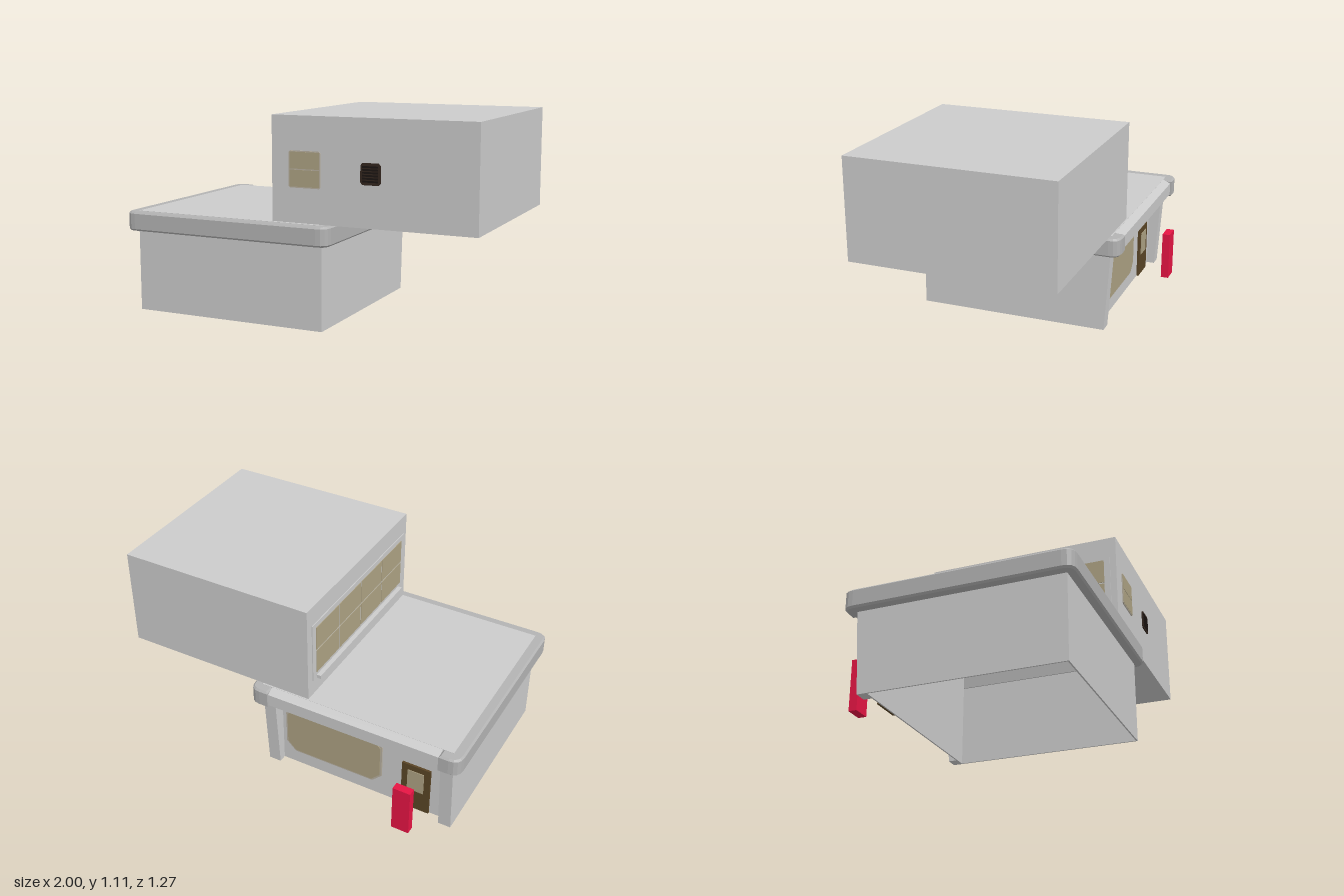
import * as THREE from 'three';

const mat = (color) => new THREE.MeshStandardMaterial({ color, side: THREE.DoubleSide });

export function createModel() {
  const model = new THREE.Group();
  const wall = mat(0xcccccc), trim = mat(0xb3b3b3), light = mat(0xe8e8e8);
  const glass = mat(0xada283), frame = mat(0xb8b0a0), wood = mat(0x5a4526);
  const dark = mat(0x33261e), slat = mat(0x1c1512), red = mat(0xe61544);

  function add(name, geometry, material, parent = model) {
    const mesh = new THREE.Mesh(geometry, material);
    mesh.name = name;
    parent.add(mesh);
    return mesh;
  }
  // Box given by its limits on each axis
  function box(name, [x0, x1], [y0, y1], [z0, z1], material) {
    const g = new THREE.BoxGeometry(x1 - x0, y1 - y0, z1 - z0);
    g.translate((x0 + x1) / 2, (y0 + y1) / 2, (z0 + z1) / 2);
    return add(name, g, material);
  }
  // Side profile of [z, y] points, swept from x0 to x1
  function sweepX(name, points, x0, x1, material) {
    const shape = new THREE.Shape(points.map(([z, y]) => new THREE.Vector2(z, y)));
    const g = new THREE.ExtrudeGeometry(shape, { depth: x1 - x0, bevelEnabled: false });
    g.rotateY(-Math.PI / 2).translate(x1, 0, 0);
    return add(name, g, material);
  }
  // Upright panel with cut corners, between z0 and z1
  function panel(name, [x0, x1], [y0, y1], [z0, z1], c, material) {
    const pts = [[x0 + c, y0], [x1 - c, y0], [x1, y0 + c], [x1, y1 - c],
      [x1 - c, y1], [x0 + c, y1], [x0, y1 - c], [x0, y0 + c]];
    const g = new THREE.ExtrudeGeometry(new THREE.Shape(pts.map((p) => new THREE.Vector2(...p))),
      { depth: z1 - z0, bevelEnabled: false });
    g.translate(0, 0, z0);
    return add(name, g, material);
  }

  // Lower building: front, leaning-edged side walls, recessed shop front
  const L = -0.945, R = 0.17, F = 0.585, S = -0.45;
  box('frontWall', [L, R], [0, 0.46], [F - 0.008, F], wall);
  const side = [[F, 0], [F, 0.46], [-0.525, 0.46], [-0.495, 0]];
  sweepX('rightWall', side, L, L + 0.008, wall);
  sweepX('leftWall', side, R - 0.008, R, wall);
  box('shopWall', [L + 0.008, R - 0.008], [0, 0.54], [S, S + 0.008], wall);
  const pier = [[S, 0], [S, 0.46], [-0.525, 0.46], [-0.495, 0]];
  sweepX('rightPilaster', pier, L, L + 0.07, wall);
  sweepX('leftPilaster', pier, R - 0.07, R, wall);

  // Shop window, door and red post
  panel('shopWindowFrame', [-0.515, 0.075], [0.085, 0.395], [S - 0.008, S], 0.055, frame);
  panel('shopWindow', [-0.505, 0.065], [0.095, 0.385], [S - 0.012, S], 0.05, glass);
  box('door', [-0.8, -0.635], [0, 0.3], [S - 0.012, S], wood);
  box('doorGlass', [-0.765, -0.67], [0.13, 0.265], [S - 0.016, S], glass);
  box('redPost', [-0.77, -0.67], [0, 0.28], [-0.64, -0.595], red);

  // Roof rim: rounded band on three sides, returning at the back corners
  const rim = new THREE.Shape();
  const turn = (cx, cy, x, y) => rim.quadraticCurveTo(cx, cy, x, y);
  rim.moveTo(-0.885, 0.585);
  rim.lineTo(-0.94, 0.585); turn(-1, 0.585, -1, 0.525);
  rim.lineTo(-1, -0.575); turn(-1, -0.635, -0.94, -0.635);
  rim.lineTo(0.16, -0.635); turn(0.22, -0.635, 0.22, -0.575);
  rim.lineTo(0.22, 0.525); turn(0.22, 0.585, 0.16, 0.585);
  rim.lineTo(0.11, 0.585); rim.lineTo(0.11, 0.52);
  rim.lineTo(0.16, 0.52); rim.lineTo(0.16, -0.535); turn(0.16, -0.575, 0.12, -0.575);
  rim.lineTo(-0.895, -0.575); turn(-0.935, -0.575, -0.935, -0.535);
  rim.lineTo(-0.935, 0.52); rim.lineTo(-0.885, 0.52);
  rim.closePath();
  const rimGeo = new THREE.ExtrudeGeometry(rim, { depth: 0.085, curveSegments: 4,
    bevelThickness: 0.01, bevelSize: 0.01, bevelOffset: -0.01, bevelSegments: 1 });
  rimGeo.rotateX(-Math.PI / 2).translate(0, 0.46, 0);
  add('roofRim', rimGeo, trim);
  box('roof', [L, R], [0.54, 0.556], [-0.53, F], wall);
  sweepX('shopFascia', [[-0.53, 0.555], [-0.575, 0.535], [-0.575, 0.465], [-0.53, 0.46]],
    -0.885, 0.11, light);

  // Upper block in layers, with two pale bands
  const levels = [0.56, 0.58, 0.62, 1.05, 1.09, 1.11];
  for (let i = 0; i < 5; i++) {
    box(i % 2 ? 'paleBand' : 'upperWall', [-0.11, 1], [levels[i], levels[i + 1]],
      [-0.525, F], i % 2 ? light : wall);
  }

  // Front window and louvred vent
  panel('frontWindow', [-0.012, 0.167], [0.742, 0.932], [F, F + 0.005], 0.008, frame);
  for (const y of [0.748, 0.84]) {
    box('frontWindowPane', [-0.006, 0.161], [y, y + 0.086], [F, F + 0.007], glass);
  }
  panel('vent', [0.388, 0.496], [0.778, 0.888], [F, F + 0.007], 0.012, dark);
  for (let i = 0; i < 6; i++) {
    const y = 0.792 + i * 0.0145;
    box('ventSlat', [0.4, 0.484], [y, y + 0.009], [F, F + 0.01], slat);
  }

  // Long window over the lower roof: frame, 4 x 2 panes and sill
  const X = -0.11;
  box('longWindowFrame', [X - 0.005, X], [0.65, 1], [-0.48, 0.55], wall);
  const pw = 0.97 / 4, ph = 0.145;
  for (let i = 0; i < 4; i++) {
    for (let j = 0; j < 2; j++) {
      const z = -0.45 + i * pw, y = 0.685 + j * ph;
      box('longWindowPane', [X - 0.008, X], [y + 0.004, y + ph - 0.004],
        [z + 0.004, z + pw - 0.004], glass);
    }
  }
  box('windowSill', [X - 0.03, X], [0.65, 0.67], [-0.445, 0.5], wall);

  return model;
}
